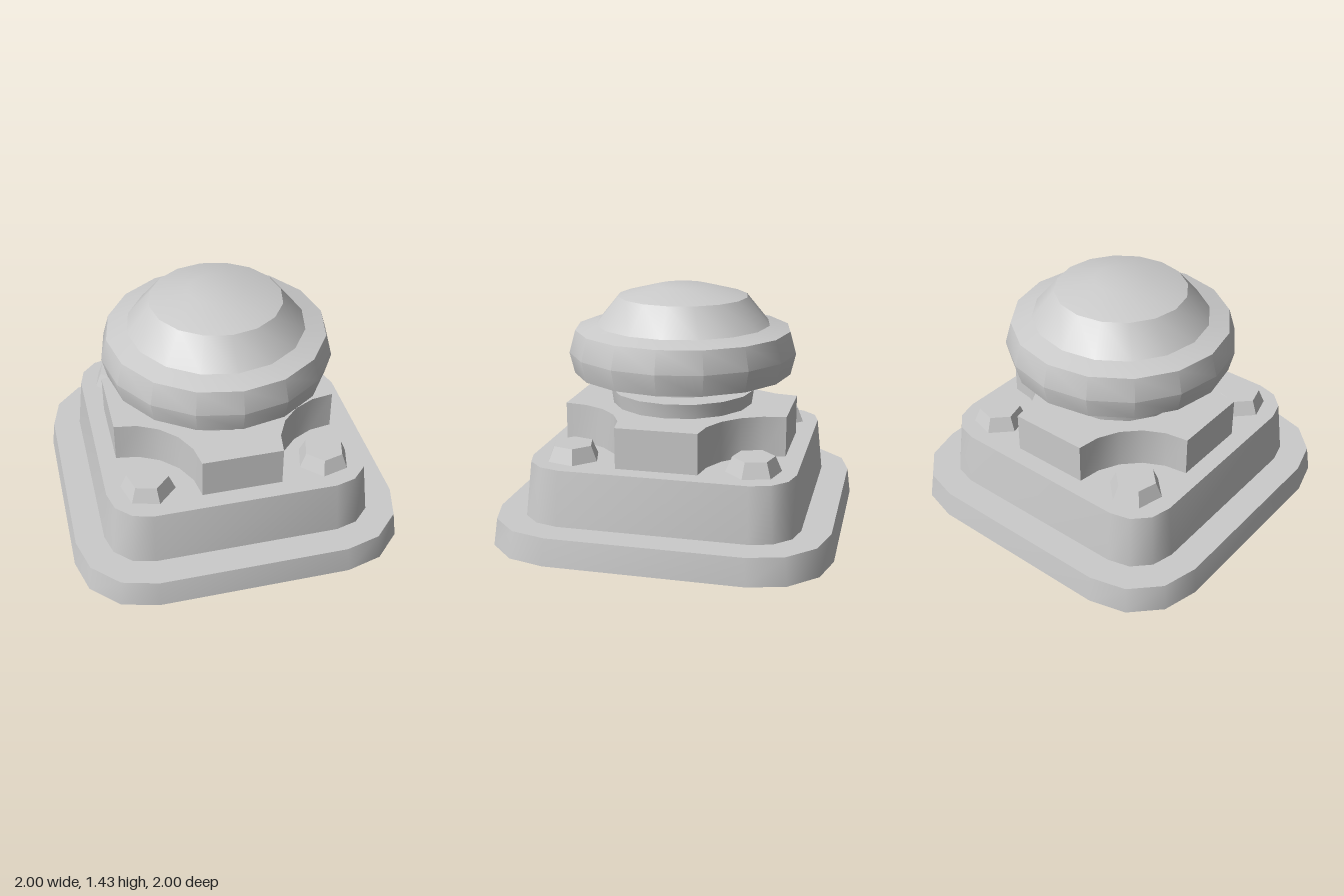
import * as THREE from 'three';
import { toCreasedNormals } from 'three/addons/utils/BufferGeometryUtils.js';

const CREASE = 0.56;
const material = new THREE.MeshStandardMaterial({ color: 0xcccccc });

function addPart(parent, name, geometry) {
  const mesh = new THREE.Mesh(toCreasedNormals(geometry, CREASE), material);
  mesh.name = name;
  parent.add(mesh);
  return mesh;
}

// Closed solid between two counter-clockwise outlines (Vector2: x and -z)
function loft(bottom, top, y0, y1) {
  const n = bottom.length;
  const positions = [
    ...bottom.flatMap((p) => [p.x, y0, -p.y]),
    ...top.flatMap((p) => [p.x, y1, -p.y]),
  ];
  const index = [];
  for (let i = 0; i < n; i++) {
    const j = (i + 1) % n;
    index.push(i, j, n + j, i, n + j, n + i);
  }
  for (const [a, b, c] of THREE.ShapeUtils.triangulateShape(bottom, [])) {
    index.push(a, c, b, n + a, n + b, n + c);
  }
  const geometry = new THREE.BufferGeometry();
  geometry.setAttribute('position', new THREE.Float32BufferAttribute(positions, 3));
  geometry.setIndex(index);
  return geometry;
}

// Points along an arc, angles in degrees
function arc(cx, cy, radius, from, to, steps) {
  return Array.from({ length: steps + 1 }, (_, i) => {
    const a = THREE.MathUtils.degToRad(from + ((to - from) * i) / steps);
    return new THREE.Vector2(cx + radius * Math.cos(a), cy + radius * Math.sin(a));
  });
}

// Repeats one corner of an outline around the four quadrants
function fourCorners(corner) {
  const origin = new THREE.Vector2();
  return [0, 1, 2, 3].flatMap((q) =>
    corner.map((p) => p.clone().rotateAround(origin, (q * Math.PI) / 2)));
}

const roundedSquare = (half, radius) =>
  fourCorners(arc(half - radius, half - radius, radius, 0, 90, 3));

const hexagon = (radius, turn) => arc(0, 0, radius, turn, turn + 300, 5);

const lathe = (profile) =>
  new THREE.LatheGeometry(profile.map(([r, y]) => new THREE.Vector2(r, y)), 16);

export function createModel() {
  const model = new THREE.Group();
  model.name = 'pushButtonHousing';

  // Stepped base with tapered sides
  addPart(model, 'baseFlange', loft(roundedSquare(1, 0.43), roundedSquare(0.98, 0.42), 0, 0.16));
  addPart(model, 'housing', loft(roundedSquare(0.81, 0.26), roundedSquare(0.775, 0.235), 0.16, 0.485));

  // Mounting plate with scooped corners
  const plate = fourCorners(arc(0.67, 0.67, 0.432, 270, 180, 5));
  addPart(model, 'mountingPlate', loft(plate, plate, 0.485, 0.725));

  // Corner bolts, mirrored
  for (const sx of [-1, 1]) {
    for (const sz of [-1, 1]) {
      const turn = 15 * sx * sz;
      const bolt = addPart(model, 'cornerBolt',
        loft(hexagon(0.16, turn), hexagon(0.122, turn), 0.485, 0.573));
      bolt.position.set(0.53 * sx, 0, 0.53 * sz);
    }
  }

  // Collar and stem
  addPart(model, 'collar', lathe([[0, 0.725], [0.425, 0.725], [0.437, 0.812], [0, 0.812]]));
  addPart(model, 'stem', lathe([[0.28, 0.812], [0.28, 0.885]]));

  // Mushroom button
  addPart(model, 'buttonCap', lathe([
    [0, 0.88], [0.28, 0.88], [0.655, 0.92], [0.685, 1.045], [0.648, 1.178],
    [0.525, 1.208], [0.39, 1.372], [0.16, 1.432], [0, 1.432],
  ]));

  return model;
}
